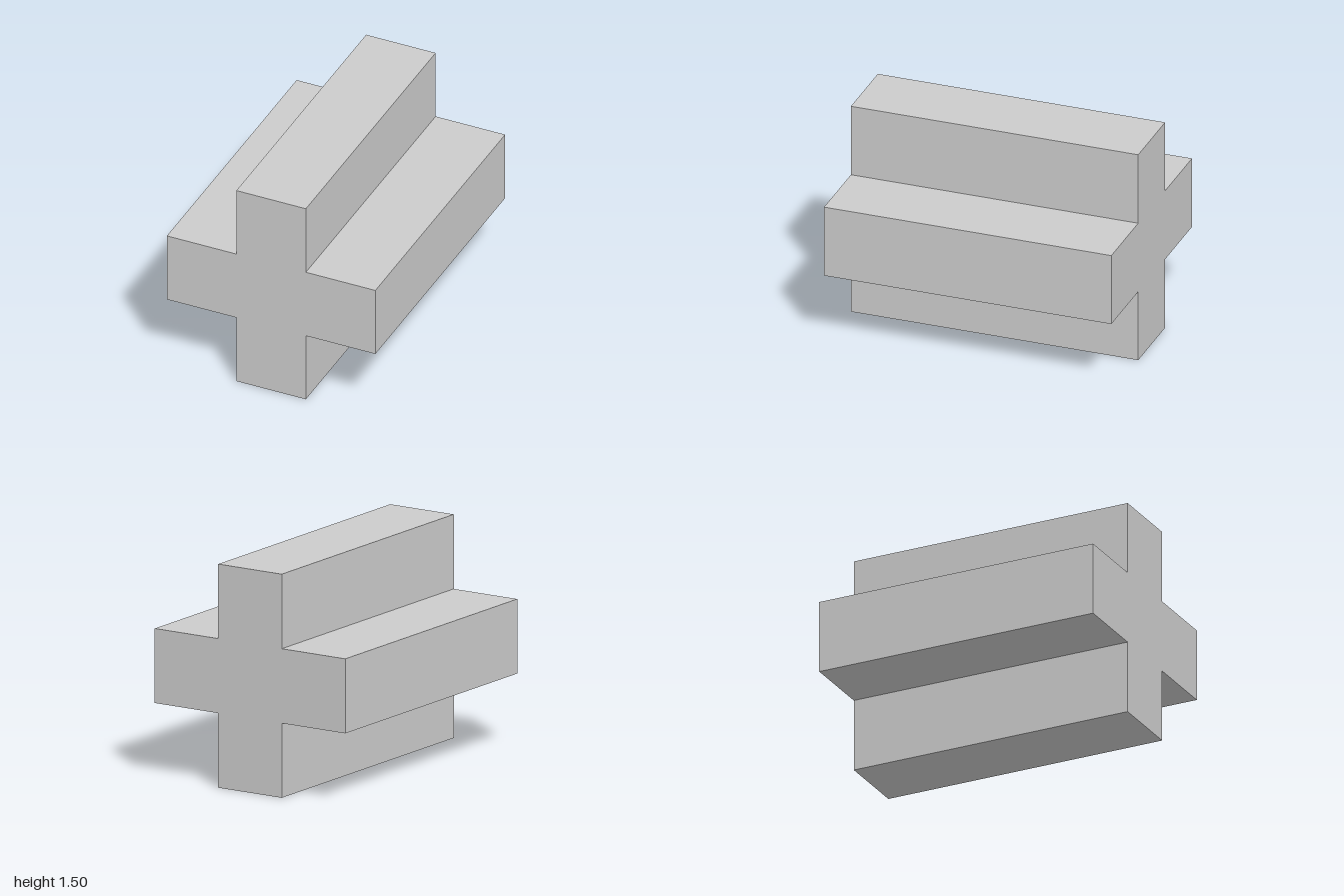
import * as THREE from 'three';

export function createModel() {
  const group = new THREE.Group();
  group.name = 'crossPrism';

  const inner = 0.25; // half width of each arm
  const outer = 0.75; // reach of each arm from the centre
  const length = 2;

  // Plus-shaped outline: three corners per quarter turn, counter-clockwise
  const points = [];
  for (let i = 0; i < 4; i++) {
    for (const [x, y] of [[outer, -inner], [outer, inner], [inner, inner]]) {
      const [c, s] = [[1, 0], [0, 1], [-1, 0], [0, -1]][i];
      points.push(new THREE.Vector2(x * c - y * s, x * s + y * c));
    }
  }

  // Extrude along z, centred and standing on the ground
  const geometry = new THREE.ExtrudeGeometry(new THREE.Shape(points), {
    depth: length,
    bevelEnabled: false,
  });
  geometry.translate(0, outer, -length / 2);

  const material = new THREE.MeshStandardMaterial({ color: 0xcccccc, flatShading: true });
  const bar = new THREE.Mesh(geometry, material);
  bar.name = 'crossBar';
  group.add(bar);
  return group;
}
